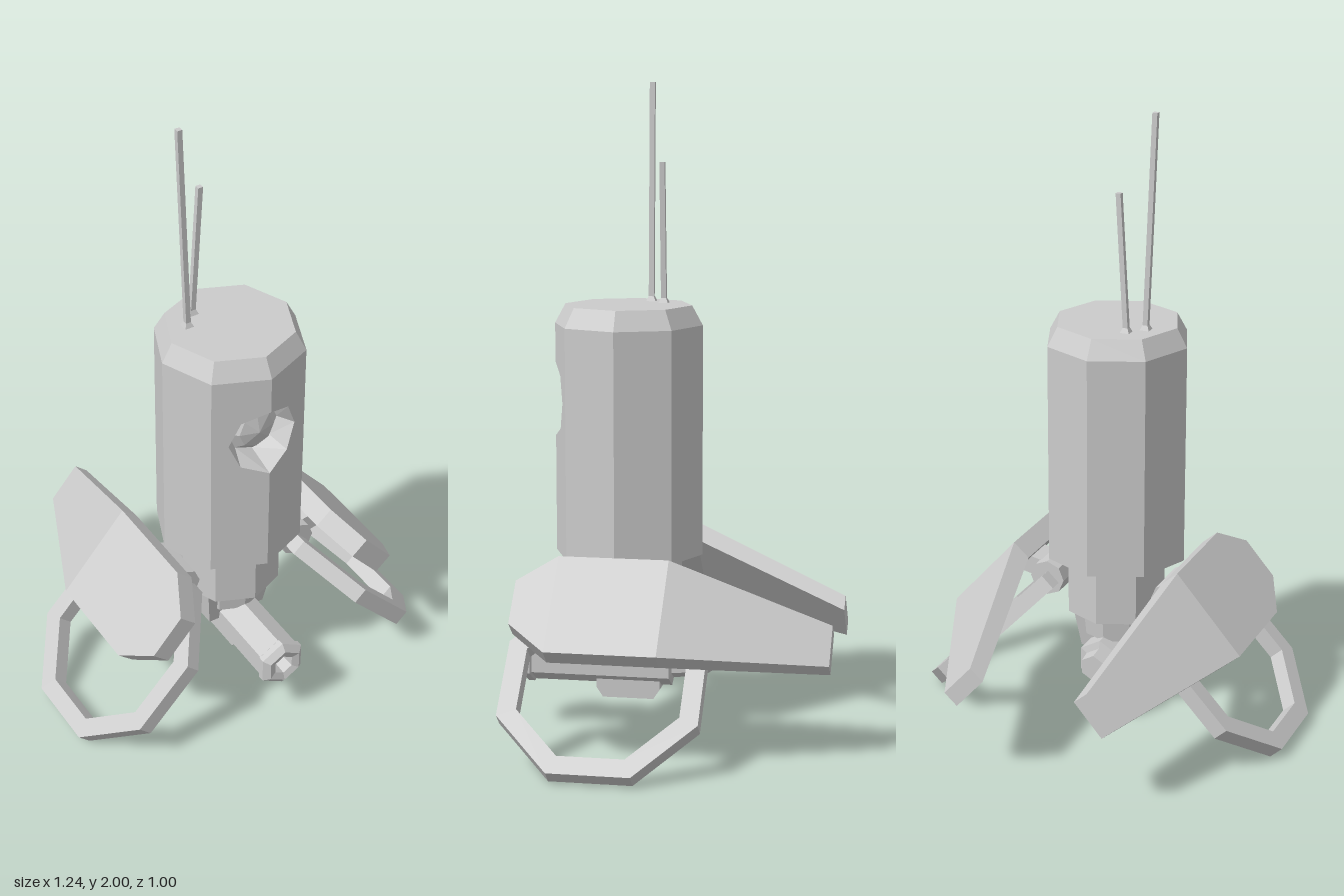
import * as THREE from 'three';

const V2 = (x, y) => new THREE.Vector2(x, y);
const material = new THREE.MeshStandardMaterial({ color: 0xcccccc, flatShading: true });

// Skin a list of equal-sized cross-sections (counter-clockwise seen from the first end)
function loft(sections, caps = true) {
  const n = sections[0].length, index = [];
  for (let i = 0; i < sections.length - 1; i++) {
    for (let j = 0; j < n; j++) {
      const a = i * n + j, b = i * n + (j + 1) % n, c = b + n, d = a + n;
      index.push(a, d, c, a, c, b);
    }
  }
  if (caps) {
    const e = (sections.length - 1) * n;
    for (let j = 1; j < n - 1; j++) index.push(0, j, j + 1, e, e + j + 1, e + j);
  }
  const g = new THREE.BufferGeometry();
  g.setAttribute('position', new THREE.Float32BufferAttribute(sections.flat(2), 3));
  g.setIndex(index);
  g.computeVertexNormals();
  return g;
}

// Reflected copy across x = 0 with the winding corrected
function mirrored(geometry) {
  const g = geometry.index ? geometry.toNonIndexed() : geometry.clone();
  const p = g.attributes.position;
  for (let i = 0; i < p.count; i += 3) {
    const t = [0, 2, 1].map(k => [p.getX(i + k), p.getY(i + k), p.getZ(i + k)]);
    t.forEach((v, k) => p.setXYZ(i + k, -v[0], v[1], v[2]));
  }
  g.computeVertexNormals();
  return g;
}

const lathe = (points, sides) => new THREE.LatheGeometry(points.map(p => V2(...p)), sides);

export function createModel() {
  const model = new THREE.Group();
  const add = (name, geometry, x = 0, y = 0, z = 0) => {
    const mesh = new THREE.Mesh(geometry, material);
    mesh.name = name;
    mesh.position.set(x, y, z);
    model.add(mesh);
    return mesh;
  };
  const addPair = (name, geometry) => {
    add(name + 'Left', geometry);
    add(name + 'Right', mirrored(geometry));
  };

  // Octagonal body: six plain walls, base and bevelled lid
  const R = 0.23, bodyZ = 0.155, y0 = 0.56, y1 = 1.27;
  add('bodyWalls', new THREE.CylinderGeometry(R, R, y1 - y0, 6, 1, true, Math.PI / 4, Math.PI * 1.5),
    0, (y0 + y1) / 2, bodyZ);
  add('bodyBase', lathe([[0, y0], [R, y0]], 8), 0, 0, bodyZ);
  add('bodyLid', lathe([[R, y1], [0.197, 1.33], [0, 1.33]], 8), 0, 0, bodyZ);

  // Two front walls, each with half of the octagonal eye opening
  const eyeY = 1.035, eyeR = 0.115;
  const wallZ = x => bodyZ + R - Math.abs(x) * Math.tan(Math.PI / 8);
  const corner = R * Math.SQRT1_2;
  const outline = [V2(0, y0), V2(corner, y0), V2(corner, y1), V2(0, y1)];
  for (let i = 0; i <= 4; i++) {
    const a = i * Math.PI / 4;
    outline.push(V2(eyeR * Math.sin(a), eyeY + eyeR * Math.cos(a)));
  }
  const frontWall = new THREE.ShapeGeometry(new THREE.Shape(outline));
  const wp = frontWall.attributes.position;
  for (let i = 0; i < wp.count; i++) wp.setZ(i, wallZ(wp.getX(i)));
  addPair('frontWall', frontWall);

  // Recessed eye socket and faceted lens
  const ring = (r, zOf) => Array.from({ length: 8 }, (_, i) => {
    const a = i * Math.PI / 4, x = r * Math.sin(a);
    return [x, eyeY + r * Math.cos(a), zOf(x)];
  });
  add('eyeSocket', loft([ring(eyeR, wallZ), ring(0.085, () => 0.285)], false));
  add('eyeLens', lathe([[0.085, 0], [0.06, 0.025], [0, 0.042]], 8).rotateX(Math.PI / 2), 0, eyeY, 0.285);

  // Neck and tapered post
  add('neck', new THREE.CylinderGeometry(0.165, 0.165, 0.2, 8), 0, 0.465, bodyZ);
  add('post', new THREE.CylinderGeometry(0.115, 0.105, 0.1, 8), 0, 0.325, bodyZ);

  // Fork arms that hold the gun
  const slab = (y, xIn, xOut, zh) => [[xIn, y, bodyZ + zh], [xOut, y, bodyZ + zh],
    [xOut, y, bodyZ - zh], [xIn, y, bodyZ - zh]];
  addPair('forkArm', loft([slab(0.37, 0.045, 0.12, 0.08), slab(0.22, 0.045, 0.1, 0.055)]));

  // Hexagonal gun with hollow muzzle, and the block below it
  add('gun', lathe([[0, -0.03], [0.045, -0.03], [0.05, 0.015], [0.075, 0.02], [0.075, 0.455],
    [0.082, 0.46], [0.082, 0.48], [0.06, 0.498], [0.035, 0.49], [0.03, 0.4], [0, 0.4]], 6)
    .rotateX(Math.PI / 2), 0, 0.215, 0);
  add('gunBlock', loft([slab(0.16, -0.03, 0.03, 0.1), slab(0.13, -0.03, 0.03, 0.1),
    slab(0.1, -0.03, 0.03, 0.08)]));

  // Slanted armour plates: [z, half width, inward shift, thickness]
  const plate = [[0.432, 0.072, 0, 0.067], [0.315, 0.16, 0, 0.067],
    [-0.02, 0.16, 0, 0.067], [-0.5, 0.068, 0.197, 0.055]];
  const platePoint = (u, n, z) => [0.385 + 0.66 * u + 0.75 * n, 0.48 - 0.75 * u + 0.66 * n, z];
  addPair('armourPlate', loft(plate.map(([z, w, s, t]) => [
    platePoint(-w, -s, z), platePoint(-w, -s - t, z),
    platePoint(w, -s - t, z), platePoint(w, -s, z)])));

  // Slanted octagonal leg hoops
  const octagon = apothem => Array.from({ length: 8 }, (_, i) => {
    const a = (i + 0.5) * Math.PI / 4, r = apothem / Math.cos(Math.PI / 8);
    return V2(r * Math.cos(a), r * Math.sin(a));
  });
  const hoopShape = new THREE.Shape(octagon(0.3));
  hoopShape.holes.push(new THREE.Path(octagon(0.243)));
  const hoop = new THREE.ExtrudeGeometry(hoopShape, { depth: 0.052, bevelEnabled: false });
  hoop.translate(0, 0, -0.026);
  const along = new THREE.Vector3(0.69, -0.725, 0).normalize();
  const across = new THREE.Vector3(0, 0, 1);
  hoop.applyMatrix4(new THREE.Matrix4()
    .makeBasis(along, across, along.clone().cross(across)).setPosition(0.395, 0.238, bodyZ));
  addPair('legHoop', hoop);

  // Hinges joining the hoops to the neck and plates
  addPair('hinge', new THREE.CylinderGeometry(0.058, 0.058, 0.16, 8)
    .rotateX(Math.PI / 2).translate(0.21, 0.448, bodyZ));
  addPair('plateStrut', new THREE.BoxGeometry(0.14, 0.06, 0.1)
    .rotateZ(0.2).translate(0.27, 0.465, bodyZ));

  // Two leaning antennas with flared feet
  for (const [name, x, z, tipX, tipY] of [['tallAntenna', -0.115, 0.105, -0.14, 2],
    ['shortAntenna', -0.07, 0.058, -0.045, 1.76]]) {
    const square = (cx, y, h) => [[cx - h, y, z + h], [cx + h, y, z + h], [cx + h, y, z - h], [cx - h, y, z - h]];
    add(name, loft([square(tipX, tipY, 0.008), square(x, 1.345, 0.008), square(x, 1.325, 0.017)]));
  }
  return model;
}
